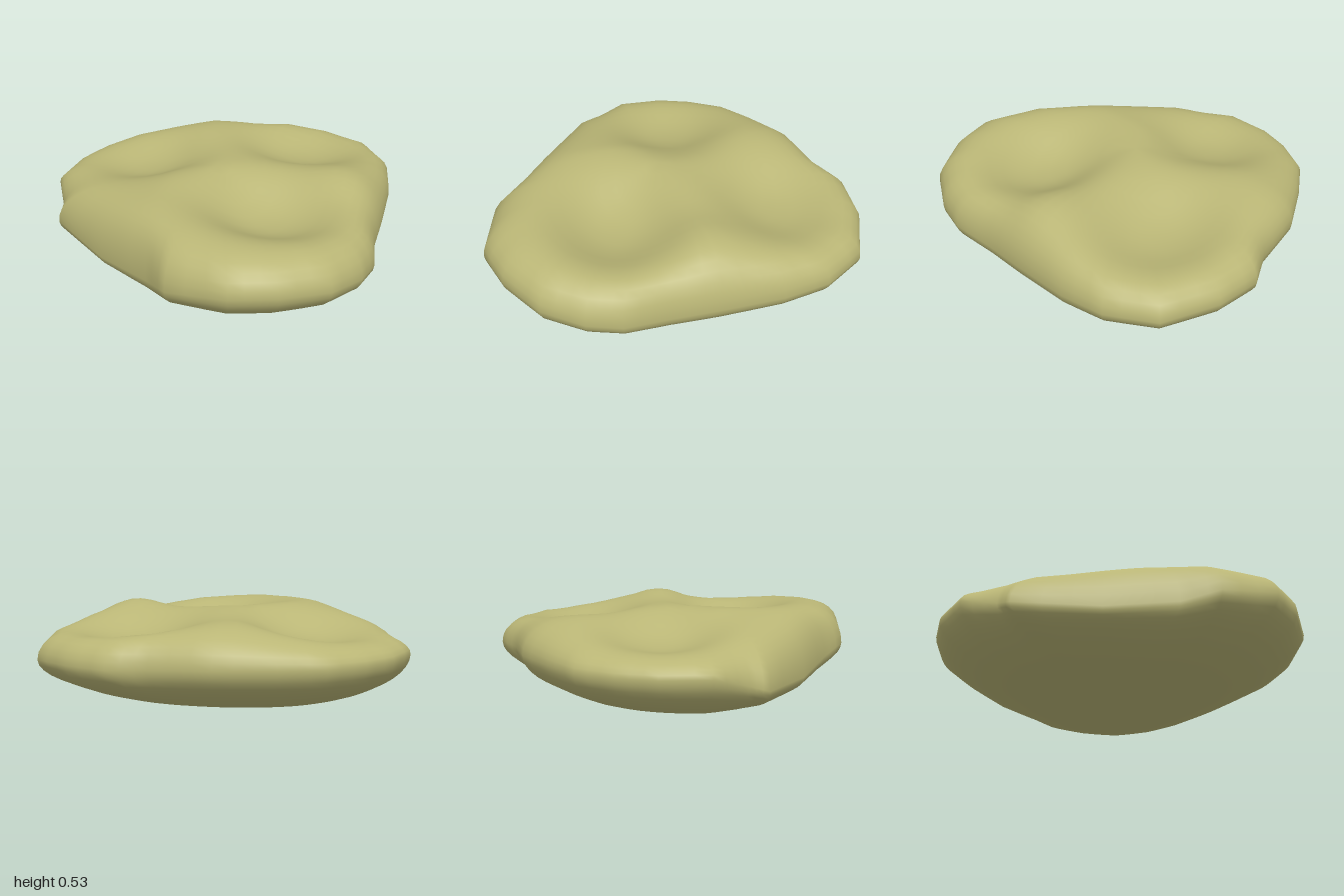
import * as THREE from 'three';

// widest edge of the stone as x, z and the height y of that edge
const EDGE = [
  [0.26, -1, 0.3], [0.5, -0.97, 0.3], [0.77, -0.84, 0.29], [0.9, -0.61, 0.29],
  [0.925, -0.37, 0.28], [0.91, -0.05, 0.27], [0.89, 0.2, 0.26], [0.905, 0.43, 0.28],
  [0.86, 0.6, 0.3], [0.74, 0.79, 0.33], [0.52, 0.93, 0.35], [0.3, 0.995, 0.35],
  [-0.02, 0.915, 0.29], [-0.16, 0.77, 0.24], [-0.47, 0.56, 0.2], [-0.82, 0.29, 0.22],
  [-0.83, 0.19, 0.25], [-0.93, 0, 0.31], [-0.91, -0.25, 0.31], [-0.83, -0.44, 0.31],
  [-0.7, -0.62, 0.31], [-0.5, -0.74, 0.31], [-0.23, -0.87, 0.31], [0.08, -0.915, 0.3],
];
// hollows (positive depth) and knolls (negative): x, z, radius x, radius z, depth
const HOLLOWS = [
  [0.4, -0.52, 0.36, 0.3, 0.14],
  [-0.42, -0.18, 0.32, 0.3, 0.12],
  [0.37, 0.34, 0.34, 0.3, 0.15],
  [0.7, -0.04, 0.2, 0.14, -0.03],
  [-0.12, 0.08, 0.2, 0.2, -0.01],
];
const STEPS = 3; // subdivisions of each edge segment

function topHeight(x, z) {
  let y = 0.53 - 0.14 * Math.max(0, -x - 0.2) - 0.05 * Math.max(0, -z - 0.3)
    + 0.03 * Math.max(0, z - 0.4);
  for (const [cx, cz, rx, rz, d] of HOLLOWS) {
    const r = Math.hypot((x - cx) / rx, (z - cz) / rz);
    y -= d * Math.exp(-(r ** 2.6));
  }
  return y;
}

function bottomHeight(x, z) {
  return 0.005 + 0.01 * Math.max(0, x) + 0.02 * Math.abs(z);
}

function edgePoints() {
  return EDGE.flatMap((a, i) => {
    const p = new THREE.Vector3(a[0], a[2], a[1]);
    const b = EDGE[(i + 1) % EDGE.length];
    const q = new THREE.Vector3(b[0], b[2], b[1]);
    return Array.from({ length: STEPS }, (_, k) => p.clone().lerp(q, k / STEPS));
  });
}

// running average that evens out the notches of a closed loop
function smoothed(loop, reach) {
  return loop.map((_, i) => {
    const sum = new THREE.Vector3();
    for (let k = -reach; k <= reach; k++) sum.add(loop[(i + k + loop.length) % loop.length]);
    return sum.divideScalar(reach * 2 + 1);
  });
}

function stoneGeometry() {
  const rim = edgePoints(), even = smoothed(rim, 6);
  const around = rim.length, half = 16, rings = half * 2;
  const pos = [0, topHeight(0, 0), 0], index = [];

  // rings run from the top centre over the edge to the bottom centre
  for (let r = 1; r < rings; r++) {
    const t = Math.sin((r / rings) * Math.PI), upper = r <= half;
    rim.forEach((edge, i) => {
      const p = even[i].clone().lerp(edge, t ** 4);
      const x = p.x * t, z = p.z * t;
      const y = upper
        ? p.y + (topHeight(x, z) - p.y) * Math.sqrt(Math.max(0, 1 - t ** 8))
        : p.y + (bottomHeight(x, z) - p.y) * Math.sqrt(Math.max(0, 1 - t ** 2.5));
      pos.push(x, y, z);
    });
  }
  const last = pos.length / 3;
  pos.push(0, bottomHeight(0, 0), 0);

  const at = (r, i) => 1 + (r - 1) * around + (i % around);
  for (let i = 0; i < around; i++) {
    index.push(0, at(1, i + 1), at(1, i));
    for (let r = 1; r < rings - 1; r++) {
      const a = at(r, i), b = at(r, i + 1), c = at(r + 1, i), d = at(r + 1, i + 1);
      index.push(a, b, c, b, d, c);
    }
    index.push(at(rings - 1, i), at(rings - 1, i + 1), last);
  }
  const geo = new THREE.BufferGeometry();
  geo.setAttribute('position', new THREE.Float32BufferAttribute(pos, 3));
  geo.setIndex(index);
  geo.computeVertexNormals();
  return geo;
}

export function createModel() {
  const group = new THREE.Group();
  group.name = 'hollowedStone';
  const stone = new THREE.Mesh(
    stoneGeometry(), new THREE.MeshStandardMaterial({ color: 0xbab676 }));
  stone.name = 'stone';
  group.add(stone);
  return group;
}
